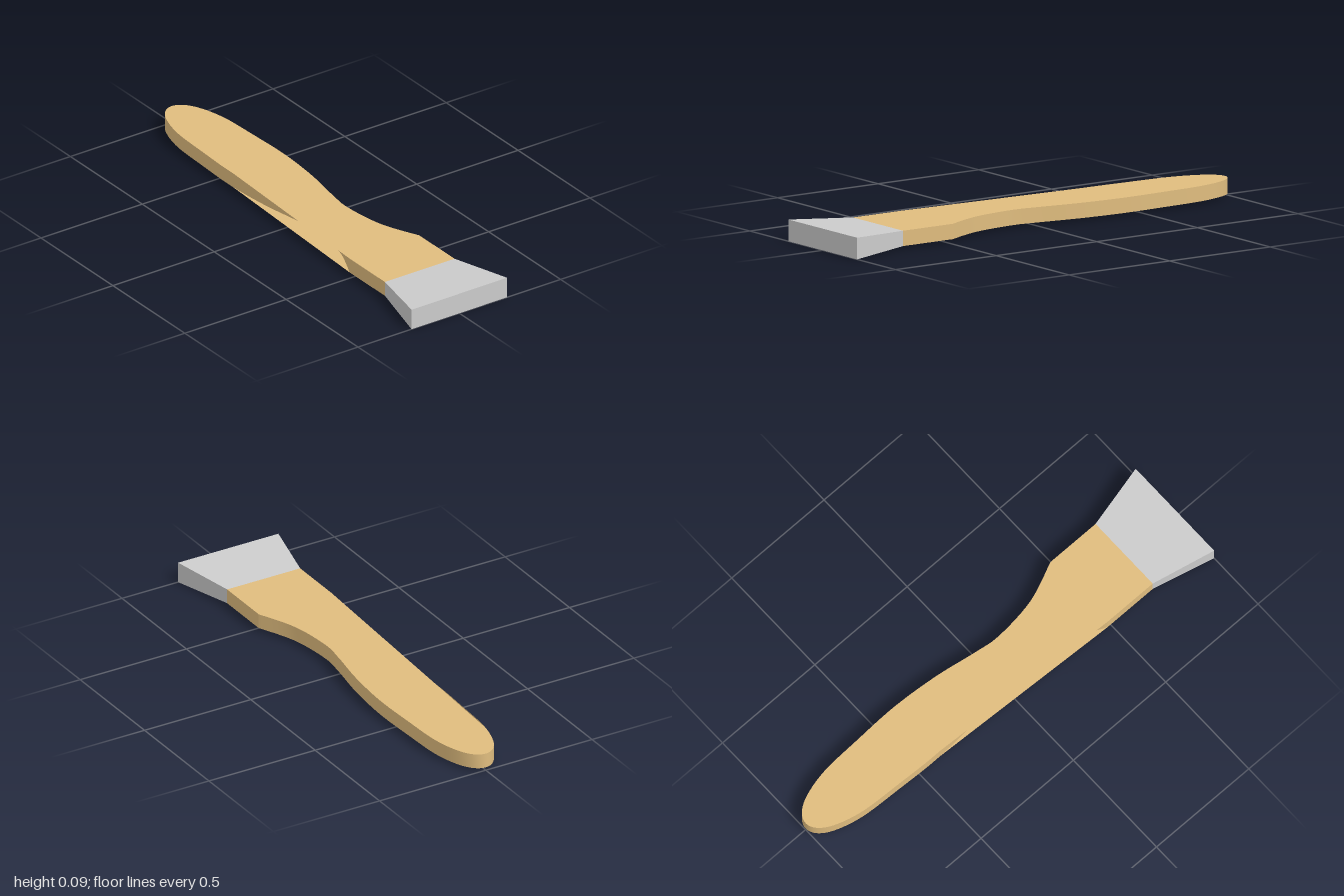
import * as THREE from 'three';

const MID = 0.0445, HALF = 0.0315;          // centre height and half thickness of the handle
const NECK_X = 0.172, NECK_Z = 0.725, SHOULDER_Z = 0.48;

// Upright strip following a plan path of (x, z) points
function wallGeometry(points) {
  const positions = [], indices = [];
  points.forEach((p, i) => {
    positions.push(p.x, MID - HALF, p.y, p.x, MID + HALF, p.y);
    if (i > 0) {
      const a = 2 * (i - 1);
      indices.push(a, a + 1, a + 2, a + 1, a + 3, a + 2);
    }
  });
  const geometry = new THREE.BufferGeometry();
  geometry.setAttribute('position', new THREE.Float32BufferAttribute(positions, 3));
  geometry.setIndex(indices);
  geometry.computeVertexNormals();
  return geometry;
}

export function createModel() {
  const group = new THREE.Group();
  const wood = new THREE.MeshStandardMaterial({ color: 0xdfbc7e, side: THREE.DoubleSide });
  const metal = new THREE.MeshStandardMaterial({ color: 0xcccccc });
  const add = (parent, name, geometry, material) => {
    const mesh = new THREE.Mesh(geometry, material);
    mesh.name = name;
    parent.add(mesh);
    return mesh;
  };

  // Waisted grip profile, mirrored around the rounded tip
  const half = [[NECK_X, SHOULDER_Z], [0.102, 0.31], [0.076, 0.12], [0.087, 0], [0.117, -0.19],
    [0.132, -0.4], [0.126, -0.61], [0.116, -0.79], [0.087, -0.91], [0.048, -0.977], [0, -1]]
    .map(([x, z]) => new THREE.Vector2(x, z));
  const mirrored = half.slice(0, -1).reverse().map(p => new THREE.Vector2(-p.x, p.y));
  const grip = new THREE.SplineCurve([...half, ...mirrored]).getPoints(120);

  const neckLeft = new THREE.Vector2(NECK_X, NECK_Z);
  const neckRight = new THREE.Vector2(-NECK_X, NECK_Z);

  const handle = new THREE.Group();
  handle.name = 'handle';
  group.add(handle);
  add(handle, 'gripWall', wallGeometry(grip), wood);
  add(handle, 'neckWallLeft', wallGeometry([neckLeft, grip[0]]), wood);
  add(handle, 'neckWallRight', wallGeometry([grip[grip.length - 1], neckRight]), wood);

  // Flat faces: waisted on the left, running straight over the waist on the right
  const outline = grip.filter(p => p.x > 0 || p.y < -0.79);
  const face = new THREE.Shape([neckLeft, ...outline, grip[grip.length - 1], neckRight]);
  for (const [name, side] of [['topFace', 1], ['bottomFace', -1]]) {
    const geometry = new THREE.ShapeGeometry(face);
    geometry.rotateX(Math.PI / 2);
    geometry.translate(0, MID + side * HALF, 0);
    add(handle, name, geometry, wood);
  }

  // Flared head: a box widened and thickened towards the front
  const length = 1 - NECK_Z;
  const head = new THREE.BoxGeometry(2, 2, length);
  const pos = head.attributes.position;
  for (let i = 0; i < pos.count; i++) {
    const front = pos.getZ(i) > 0;
    pos.setX(i, pos.getX(i) * (front ? 0.236 : NECK_X));
    pos.setY(i, pos.getY(i) * (front ? MID : HALF));
  }
  head.computeVertexNormals();
  head.translate(0, MID, NECK_Z + length / 2);
  add(group, 'head', head, metal);

  return group;
}
